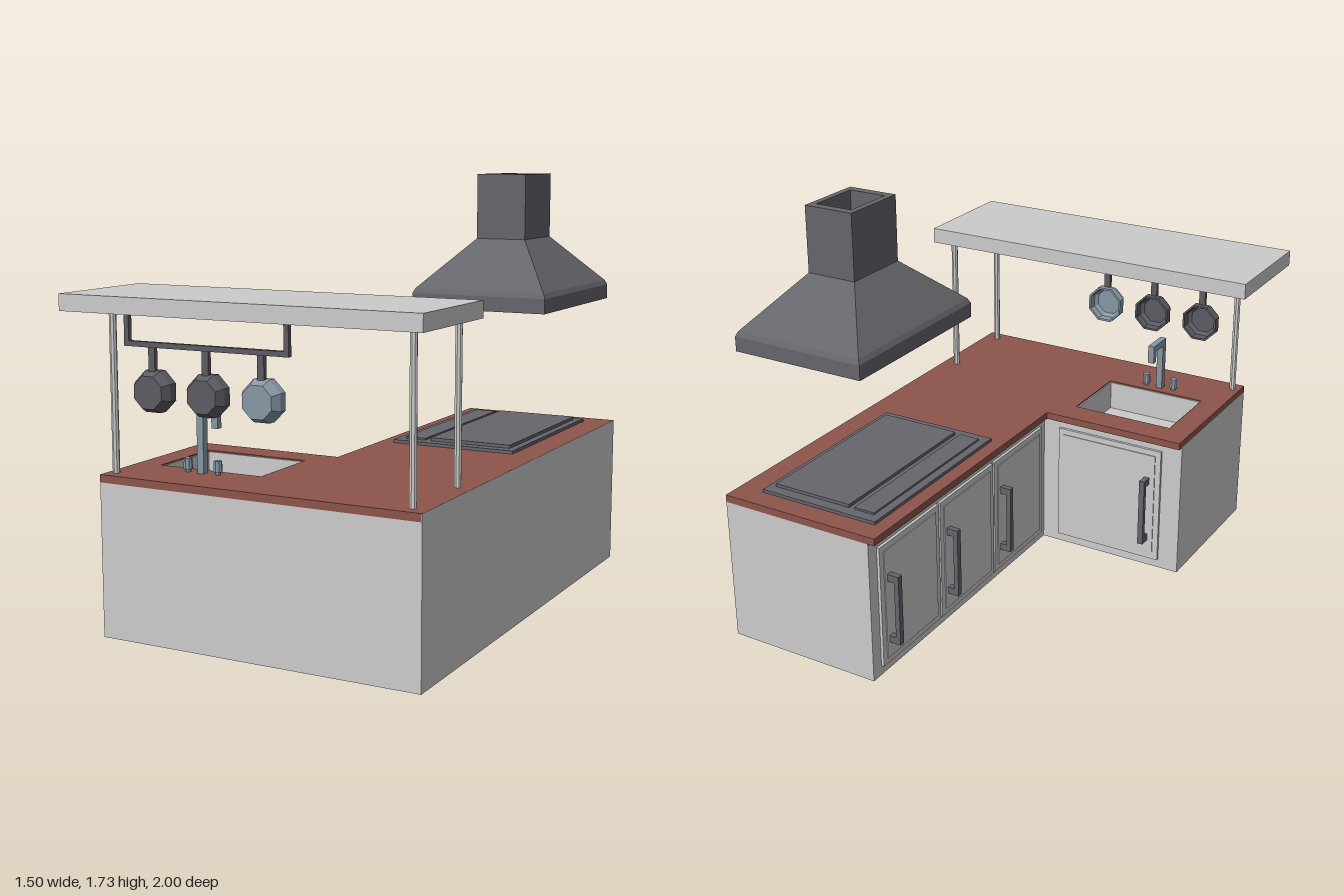
import * as THREE from 'three';

const mat = (color) => new THREE.MeshStandardMaterial({ color, flatShading: true });
const grey = mat(0xcccccc);
const wood = mat(0x8c544a);
const dark = mat(0x65656c);
const iron = mat(0x5d5b63);
const steel = mat(0x8797a6);

function add(parent, name, geometry, material) {
  const mesh = new THREE.Mesh(geometry, material);
  mesh.name = name;
  parent.add(mesh);
  return mesh;
}

// Box given by its minimum and maximum on each axis
function box(parent, name, material, x0, x1, y0, y1, z0, z1) {
  const mesh = add(parent, name, new THREE.BoxGeometry(x1 - x0, y1 - y0, z1 - z0), material);
  mesh.position.set((x0 + x1) / 2, (y0 + y1) / 2, (z0 + z1) / 2);
  return mesh;
}

// L-shaped slab between two heights, with an optional sink cut-out
function slab(parent, name, material, inset, y0, y1, cutOut) {
  const a = 0.05 + inset, b = 0.3 + inset;
  const outline = [[-0.58, b], [a, b], [a, -1], [0.75, -1], [0.75, 1], [-0.58, 1]];
  const shape = new THREE.Shape(outline.map(([x, z]) => new THREE.Vector2(x, z)));
  if (cutOut) {
    const hole = [[-0.48, 0.42], [-0.03, 0.42], [-0.03, 0.75], [-0.48, 0.75]];
    shape.holes.push(new THREE.Path(hole.map(([x, z]) => new THREE.Vector2(x, z))));
  }
  const g = new THREE.ExtrudeGeometry(shape, { depth: y1 - y0, bevelEnabled: false });
  g.rotateX(Math.PI / 2).translate(0, y1, 0);
  return add(parent, name, g, material);
}

// Skin over rectangular rings [halfX, halfZ, y]
function rectLoft(rings) {
  const corners = [[-1, -1], [-1, 1], [1, 1], [1, -1]];
  const pos = [];
  const put = ([hx, hz, y], k) => pos.push(corners[k % 4][0] * hx, y, corners[k % 4][1] * hz);
  for (let i = 0; i < rings.length - 1; i++) {
    const lo = rings[i], hi = rings[i + 1];
    for (let k = 0; k < 4; k++) {
      put(lo, k); put(lo, k + 1); put(hi, k + 1);
      put(lo, k); put(hi, k + 1); put(hi, k);
    }
  }
  const g = new THREE.BufferGeometry();
  g.setAttribute('position', new THREE.Float32BufferAttribute(pos, 3));
  g.computeVertexNormals();
  return g;
}

// Cabinet door facing its own +z, with a raised panel and a bar handle
function door(width, handleX) {
  const g = new THREE.Group();
  g.name = 'cabinetDoor';
  const h = width / 2;
  box(g, 'doorFrame', grey, -h, h, 0.04, 0.56, -0.005, 0.012);
  box(g, 'doorPanel', grey, -h + 0.025, h - 0.025, 0.065, 0.535, 0.012, 0.016);
  box(g, 'handleBar', dark, handleX - 0.012, handleX + 0.012, 0.13, 0.43, 0.045, 0.065);
  for (const y of [0.145, 0.415]) {
    box(g, 'handleMount', dark, handleX - 0.012, handleX + 0.012, y - 0.015, y + 0.015, 0.012, 0.045);
  }
  return g;
}

// Octagonal pan hanging by its handle, open to the back
function pan(x, material) {
  const g = new THREE.Group();
  g.name = 'hangingPan';
  const profile = [[0, 0.035], [0.066, 0.035], [0.085, 0], [0.085, -0.035], [0.076, -0.035],
    [0.074, 0], [0.06, 0.015], [0, 0.015]];
  const dish = new THREE.LatheGeometry(
    profile.map(([r, y]) => new THREE.Vector2(r, y)).reverse(), 8, Math.PI / 8);
  dish.rotateX(Math.PI / 2);
  add(g, 'panDish', dish, material).material.side = THREE.DoubleSide;
  box(g, 'panHandle', iron, -0.014, 0.014, 0.07, 0.18, -0.012, 0.006);
  g.position.set(x, 0.943, 0.903);
  return g;
}

export function createModel() {
  const model = new THREE.Group();
  model.name = 'kitchenIsland';

  // Cabinet and worktop; the upper layers are cut out for the sink
  slab(model, 'cabinetBase', grey, 0.03, 0, 0.5, false);
  slab(model, 'cabinetUpper', grey, 0.03, 0.5, 0.6, true);
  slab(model, 'worktop', wood, 0, 0.6, 0.63, true);
  box(model, 'sidePanel', grey, 0.749, 0.751, 0, 0.63, -1, 1);

  // Sink lining and drain
  box(model, 'sinkWall', grey, -0.48, -0.474, 0.5, 0.625, 0.42, 0.75);
  box(model, 'sinkWall', grey, -0.036, -0.03, 0.5, 0.625, 0.42, 0.75);
  box(model, 'sinkWall', grey, -0.474, -0.036, 0.5, 0.625, 0.42, 0.426);
  box(model, 'sinkWall', grey, -0.474, -0.036, 0.5, 0.625, 0.744, 0.75);
  add(model, 'sinkDrain', new THREE.CylinderGeometry(0.025, 0.025, 0.006, 8), dark)
    .position.set(-0.255, 0.503, 0.585);

  // Doors along the inner faces
  for (let i = 0; i < 3; i++) {
    const d = door(0.405, -0.15);
    d.rotation.y = -Math.PI / 2;
    d.position.set(0.08, 0, -0.745 + i * 0.415);
    model.add(d);
  }
  const sinkDoor = door(0.49, 0.185);
  sinkDoor.rotation.y = Math.PI;
  sinkDoor.position.set(-0.245, 0, 0.33);
  model.add(sinkDoor);

  // Tap
  const tap = new THREE.Group();
  tap.name = 'tap';
  model.add(tap);
  box(tap, 'tapPost', steel, -0.269, -0.241, 0.63, 0.865, 0.785, 0.815);
  box(tap, 'tapArm', steel, -0.269, -0.241, 0.835, 0.865, 0.69, 0.785);
  box(tap, 'tapSpout', steel, -0.269, -0.241, 0.785, 0.835, 0.69, 0.716);
  for (const x of [-0.32, -0.187]) {
    add(tap, 'tapKnobStem', new THREE.CylinderGeometry(0.012, 0.012, 0.02, 8), steel).position.set(x, 0.638, 0.8);
    add(tap, 'tapKnob', new THREE.CylinderGeometry(0.016, 0.018, 0.042, 8), steel).position.set(x, 0.662, 0.8);
  }

  // Overhead shelf on three posts
  box(model, 'shelf', grey, -0.75, 0.75, 1.235, 1.3, 0.5, 1);
  for (const [x, z] of [[-0.545, 0.945], [0.69, 0.945], [0.69, 0.577]]) {
    add(model, 'shelfPost', new THREE.CylinderGeometry(0.014, 0.014, 0.605, 8), grey).position.set(x, 0.9325, z);
  }

  // Hanging rail and pans
  box(model, 'railBar', iron, -0.51, 0.195, 1.11, 1.13, 0.905, 0.925);
  for (const x of [-0.5, 0.185]) {
    box(model, 'railHanger', iron, x - 0.01, x + 0.01, 1.13, 1.235, 0.905, 0.925);
  }
  [-0.4, -0.165, 0.07].forEach((x, i) => model.add(pan(x, i === 2 ? steel : iron)));

  // Cooktop: base plate, control strip and cooking surface
  box(model, 'cooktopBase', dark, 0.11, 0.64, 0.63, 0.643, -0.91, -0.07);
  box(model, 'cooktopControls', dark, 0.145, 0.235, 0.643, 0.651, -0.865, -0.115);
  box(model, 'cooktopSurface', dark, 0.26, 0.61, 0.643, 0.656, -0.865, -0.115);

  // Extractor hood with open chimney and filters underneath
  const hood = new THREE.Group();
  hood.name = 'extractorHood';
  hood.position.set(0.4575, 0, -0.5);
  model.add(hood);
  add(hood, 'hoodShell', rectLoft([
    [0, 0, 1.215], [0.262, 0.355, 1.215], [0.262, 0.355, 1.19], [0.2875, 0.38, 1.19],
    [0.2875, 0.38, 1.25], [0.278, 0.37, 1.27], [0.106, 0.143, 1.465], [0.106, 0.143, 1.73],
    [0.08, 0.107, 1.73], [0.08, 0.107, 1.47], [0, 0, 1.47],
  ]), dark);
  for (const s of [-1, 1]) {
    const filter = box(hood, 'hoodFilter', iron, -0.245, 0.245, 1.2, 1.216, -0.165, 0.165);
    filter.position.z = s * 0.173;
  }
  return model;
}
